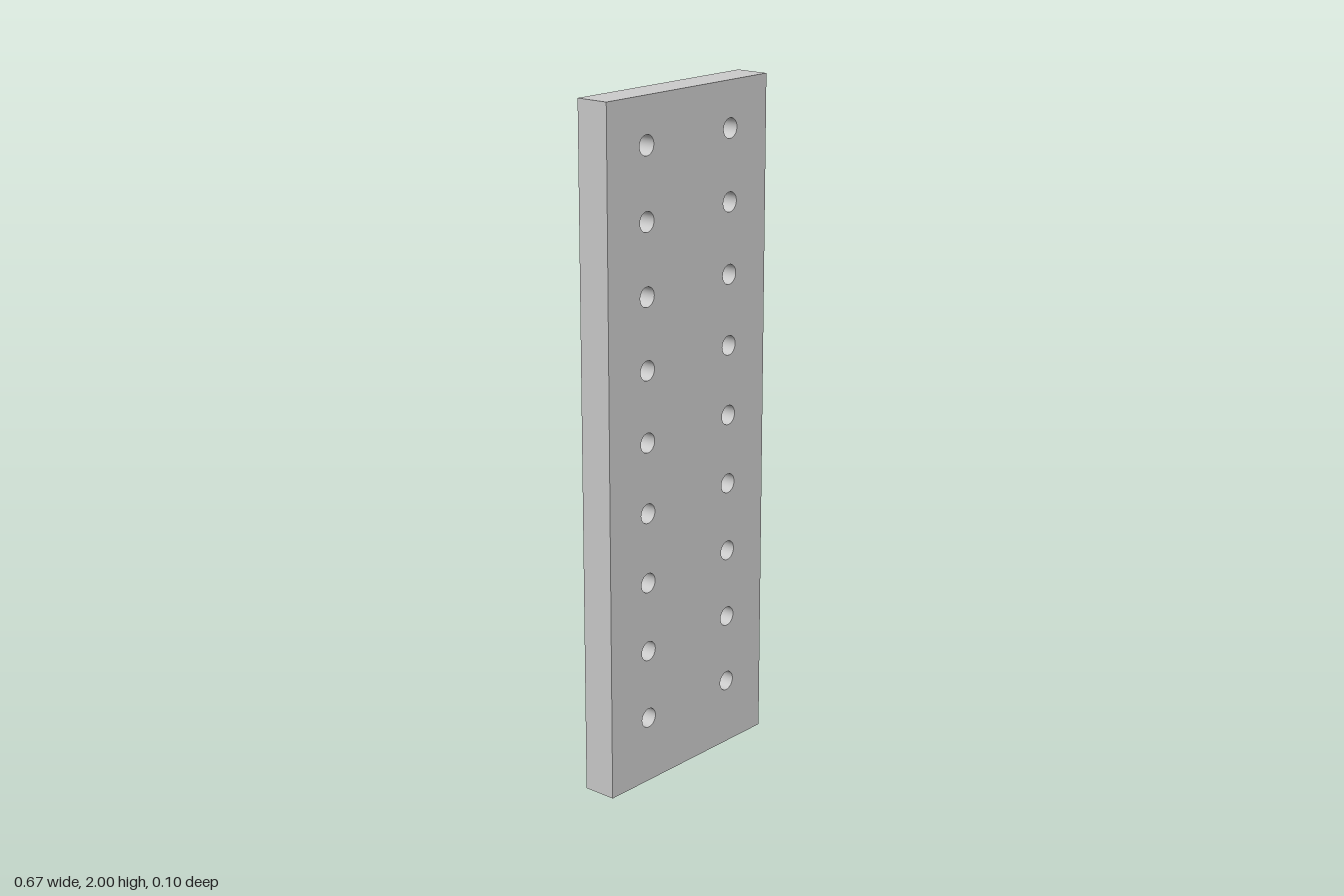
import * as THREE from 'three';

const W = 0.665, H = 2, D = 0.102;      // plate size
const BORE_R = 0.029, HEX_R = 0.058;    // hole radius, nut pocket corner radius
const POCKET = 0.042;                   // depth of the nut pockets in the back
const FRONT = D / 2, BACK = -D / 2, FLOOR = BACK + POCKET;
const ROWS = 9, POCKET_ROWS = 7, FIRST_Y = 0.198, PITCH = 0.2084, HOLE_X = 0.175;

const grey = new THREE.MeshStandardMaterial({ color: 0xcccccc });
const inner = new THREE.MeshStandardMaterial({ color: 0xcccccc, side: THREE.BackSide });
const innerFlat = new THREE.MeshStandardMaterial({ color: 0xcccccc, side: THREE.BackSide, flatShading: true });

// Regular polygon path, first corner on the x axis
function ring(Type, x, y, r, sides) {
  const points = [];
  for (let i = 0; i < sides; i++) {
    const a = (i / sides) * Math.PI * 2;
    points.push(new THREE.Vector2(x + r * Math.cos(a), y + r * Math.sin(a)));
  }
  return new Type(points);
}

const bore = (Type, x, y) => ring(Type, x, y, BORE_R, 32);
const hex = (Type, x, y) => ring(Type, x, y, HEX_R, 6);

// Open tube along z, seen from the inside
function lining(x, y, r, sides, z0, z1, material) {
  const geo = new THREE.CylinderGeometry(r, r, z1 - z0, sides, 1, true, Math.PI / 2);
  geo.rotateX(Math.PI / 2);
  geo.translate(x, y, (z0 + z1) / 2);
  return new THREE.Mesh(geo, material);
}

// Flat face at depth z, turned to the back if asked
function face(shape, z, toBack) {
  const geo = new THREE.ShapeGeometry(shape);
  // Mirroring in x turns the face over once it is rotated about y
  if (toBack) geo.rotateY(Math.PI);
  geo.translate(0, 0, z);
  return new THREE.Mesh(geo, grey);
}

function plateShape() {
  return new THREE.Shape([
    new THREE.Vector2(-W / 2, 0), new THREE.Vector2(W / 2, 0),
    new THREE.Vector2(W / 2, H), new THREE.Vector2(-W / 2, H),
  ]);
}

export function createModel() {
  const model = new THREE.Group();
  model.name = 'drilledPlate';
  const add = (mesh, name) => {
    mesh.name = name;
    model.add(mesh);
  };

  const frontShape = plateShape();
  const backShape = plateShape();

  // Two columns of through holes, the lower rows with hexagonal nut pockets
  for (const x of [-HOLE_X, HOLE_X]) {
    for (let row = 0; row < ROWS; row++) {
      const y = FIRST_Y + row * PITCH;
      const pocketed = row < POCKET_ROWS;
      frontShape.holes.push(bore(THREE.Path, x, y));
      backShape.holes.push((pocketed ? hex : bore)(THREE.Path, x, y));
      add(lining(x, y, BORE_R, 32, pocketed ? FLOOR : BACK, FRONT, inner), 'boreWall');
      if (pocketed) {
        add(lining(x, y, HEX_R, 6, BACK, FLOOR, innerFlat), 'nutPocketWall');
        const floor = hex(THREE.Shape, x, y);
        floor.holes.push(bore(THREE.Path, x, y));
        add(face(floor, FLOOR, true), 'nutPocketFloor');
      }
    }
  }

  // Front and back faces of the plate
  add(face(frontShape, FRONT, false), 'frontFace');
  add(face(backShape, BACK, true), 'backFace');

  // The four edges: a box without its front and back
  const edges = new THREE.BoxGeometry(W, H, D);
  edges.setIndex(Array.from(edges.index.array).slice(0, 24));
  edges.clearGroups();
  edges.translate(0, H / 2, 0);
  add(new THREE.Mesh(edges, grey), 'plateEdges');

  return model;
}
